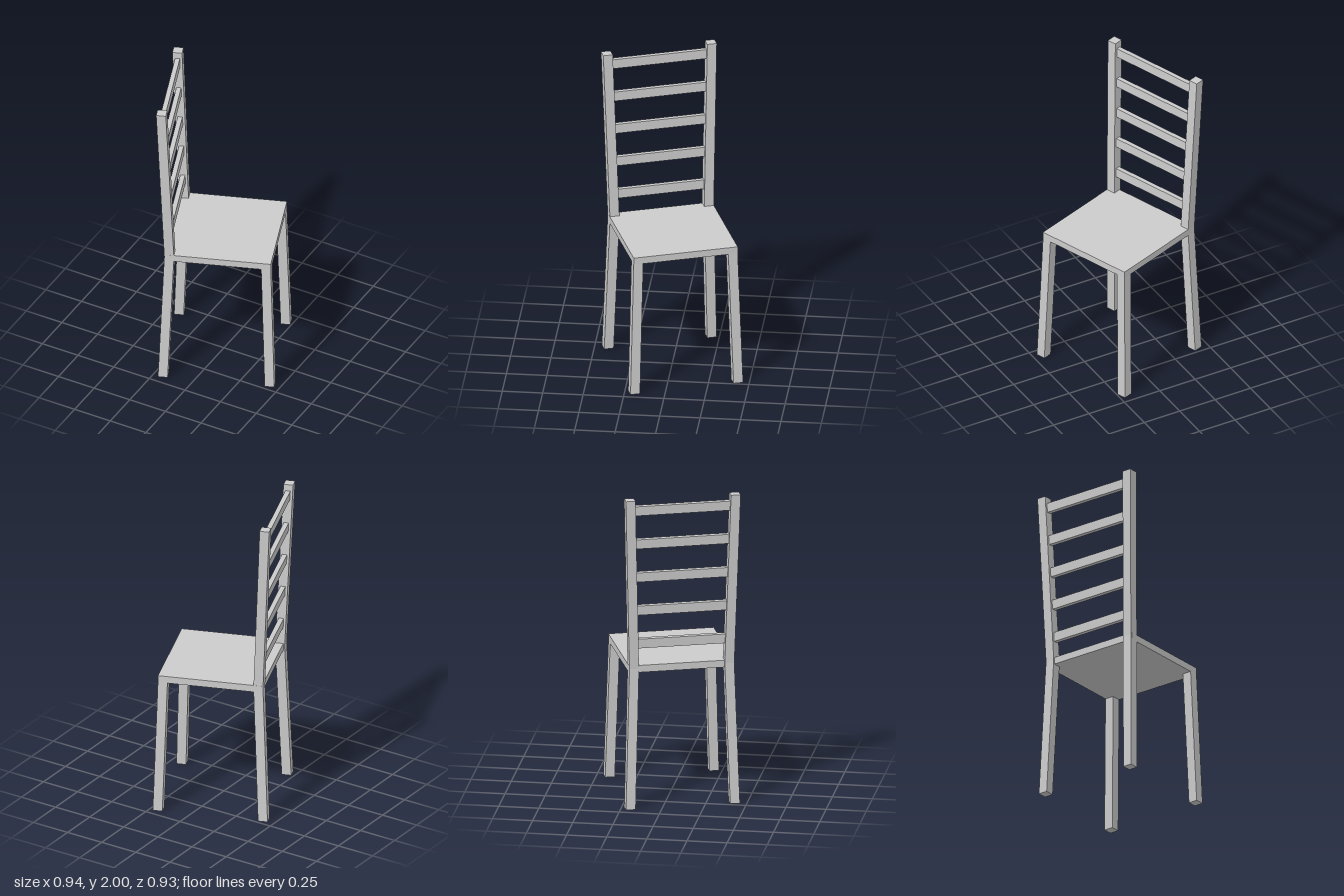
import * as THREE from 'three';

const material = new THREE.MeshStandardMaterial({ color: 0xcccccc, flatShading: true });
const POST = 0.06; // square section of legs and posts

function addMesh(group, name, geometry) {
  const mesh = new THREE.Mesh(geometry, material);
  mesh.name = name;
  group.add(mesh);
  return mesh;
}

// Square bar following centre points [x, y, z], with level cuts at each point
function bar(points) {
  const n = points.length - 1;
  const geometry = new THREE.BoxGeometry(POST, n, POST, 1, n, 1);
  const pos = geometry.attributes.position;
  for (let i = 0; i < pos.count; i++) {
    const [x, y, z] = points[Math.round(pos.getY(i) + n / 2)];
    pos.setXYZ(i, pos.getX(i) + x, y, pos.getZ(i) + z);
  }
  geometry.computeVertexNormals();
  return geometry;
}

export function createModel() {
  const group = new THREE.Group();
  group.name = 'ladderBackChair';
  // The chair is built facing +x, then turned
  const chair = new THREE.Group();
  chair.name = 'chair';
  chair.rotation.y = THREE.MathUtils.degToRad(20);
  group.add(chair);

  // Thin square seat
  addMesh(chair, 'seat', new THREE.BoxGeometry(0.655, 0.045, 0.66)).position.set(0.0145, 0.895, 0);

  // Splayed front legs, and back posts that bend at the seat
  for (const [side, s] of [['Left', -1], ['Right', 1]]) {
    addMesh(chair, 'frontLeg' + side, bar([[0.338, 0, s * 0.327], [0.312, 0.875, s * 0.3]]));
    addMesh(chair, 'backPost' + side, bar([
      [-0.326, 0, s * 0.327],
      [-0.291, 0.9, s * 0.299],
      [-0.337, 2, s * 0.33],
    ]));
  }

  // Five back rails leaning with the posts
  const lean = Math.atan(0.046 / 1.1);
  for (let i = 0; i < 5; i++) {
    const y = 1.058 + i * 0.2175;
    const t = (y - 0.9) / 1.1;
    const rail = addMesh(chair, 'backRail' + (i + 1), new THREE.BoxGeometry(0.03, 0.06, 0.57 + 0.06 * t));
    rail.position.set(-0.291 - 0.046 * t, y, 0);
    rail.rotation.z = lean;
  }
  return group;
}
